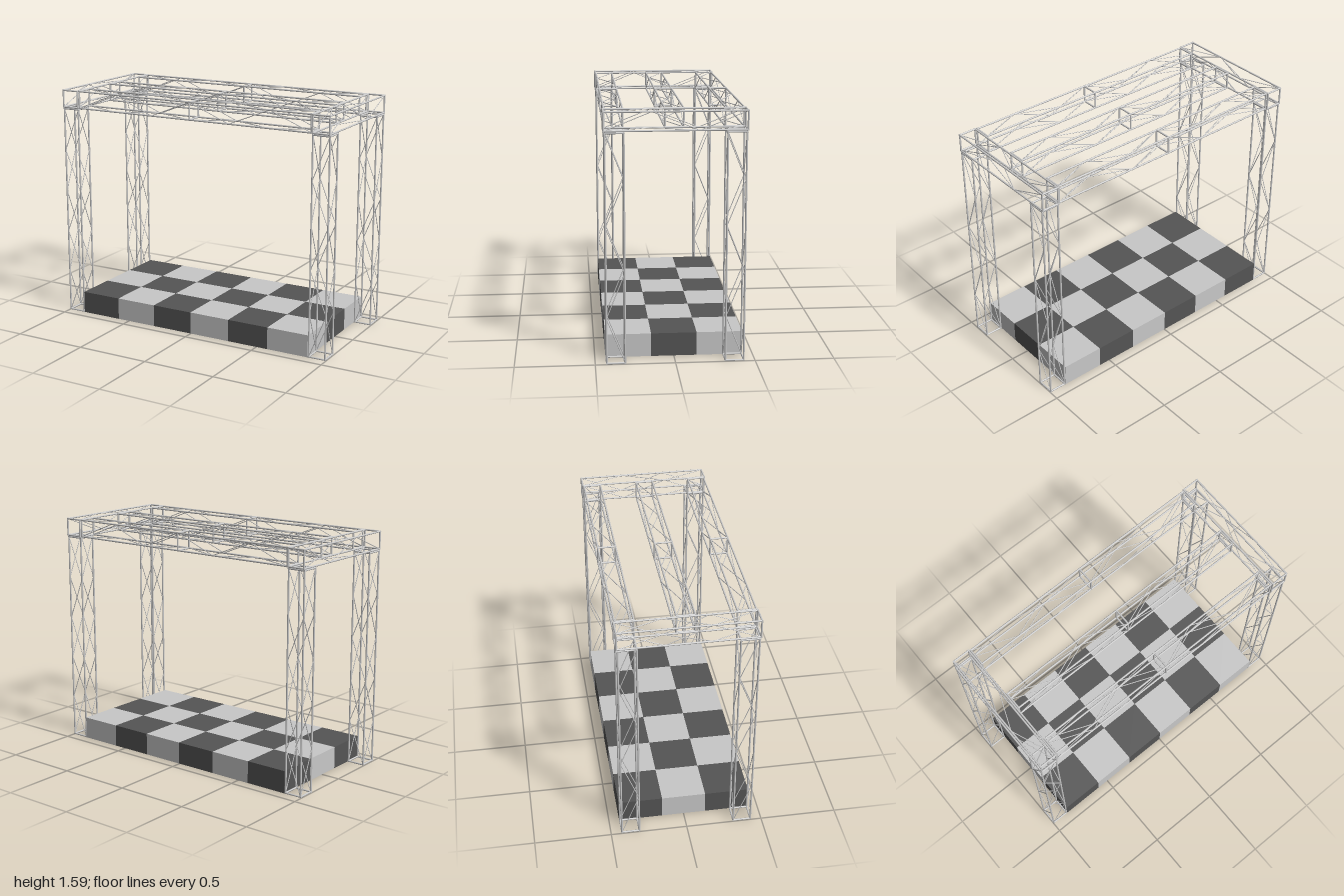
import * as THREE from 'three';
import { mergeGeometries } from 'three/addons/utils/BufferGeometryUtils.js';

const HALF = 0.0575;   // half spacing between chord centre lines
const CHORD = 0.006;   // chord tube radius
const BRACE = 0.0028;  // diagonal rod radius
const UP = new THREE.Vector3(0, 1, 0);

// Round rod between two points
function rod(a, b, radius, extend = 0) {
  const dir = b.clone().sub(a);
  const geo = new THREE.CylinderGeometry(radius, radius, dir.length() + 2 * extend, 8);
  geo.applyQuaternion(new THREE.Quaternion().setFromUnitVectors(UP, dir.clone().normalize()));
  const mid = a.clone().add(b).multiplyScalar(0.5);
  return geo.translate(mid.x, mid.y, mid.z);
}

// Square box truss standing along y, centred on the origin
function createTruss(name, length, bays, frameLevels, material) {
  const corners = [[-1, -1], [1, -1], [1, 1], [-1, 1]];
  const at = (i, y) => new THREE.Vector3(corners[i % 4][0] * HALF, y, corners[i % 4][1] * HALF);
  const chords = [], frames = [], braces = [];
  const step = length / bays;
  for (let i = 0; i < 4; i++) {
    chords.push(rod(at(i, -length / 2), at(i, length / 2), CHORD));
    for (const y of frameLevels) frames.push(rod(at(i, y), at(i + 1, y), CHORD, CHORD * 0.8));
    // Zigzag lacing, mirrored on opposite faces
    for (let k = 0; k < bays; k++) {
      const y0 = -length / 2 + k * step;
      const flip = (k + (i >> 1)) % 2;
      // corner order reverses on opposite faces, so compensate for it
      const swap = i >= 2 ? 1 - flip : flip;
      const mirrored = i >= 2 ? 1 - swap : swap;
      const forward = i >= 2 ? mirrored !== (k + 1) % 2 : mirrored === k % 2;
      const start = (k % 2 === 0) === forward ? i : i + 1;
      const end = start === i ? i + 1 : i;
      braces.push(rod(at(start, y0), at(end, y0 + step), BRACE));
    }
  }
  const group = new THREE.Group();
  group.name = name;
  for (const [part, list] of [['chords', chords], ['frames', frames], ['braces', braces]]) {
    const mesh = new THREE.Mesh(mergeGeometries(list), material);
    mesh.name = part;
    group.add(mesh);
  }
  return group;
}

export function createModel() {
  const metal = new THREE.MeshStandardMaterial({ color: 0xcccccc });
  metal.name = 'truss metal';
  const light = new THREE.MeshStandardMaterial({ color: 0xc8c8c8 });
  light.name = 'light grey';
  const dark = new THREE.MeshStandardMaterial({ color: 0x555555 });
  dark.name = 'dark grey';

  const model = new THREE.Group();
  model.name = 'stage';

  // Chequered platform of 6 x 3 blocks
  const platform = new THREE.Group();
  platform.name = 'platform';
  const w = 0.291, d = 0.2887, h = 0.15;
  const block = new THREE.BoxGeometry(w, h, d);
  for (let row = 0; row < 3; row++) {
    for (let col = 0; col < 6; col++) {
      const mesh = new THREE.Mesh(block, (row + col) % 2 === 0 ? dark : light);
      mesh.name = 'platformBlock';
      mesh.position.set((col - 2.5) * w, h / 2 + 0.002, (row - 1) * d);
      platform.add(mesh);
    }
  }
  model.add(platform);

  const columnX = 0.9365, columnZ = 0.3705, beamY = 1.5225;

  // Four corner columns
  const columnLength = 1.447;
  for (const sx of [-1, 1]) {
    for (const sz of [-1, 1]) {
      const column = createTruss('column', columnLength, 5,
        [-columnLength / 2, columnLength / 2], metal);
      column.position.set(sx * columnX, columnLength / 2 + CHORD, sz * columnZ);
      model.add(column);
    }
  }

  // Side beams running front to back on top of the columns
  for (const sx of [-1, 1]) {
    const beam = createTruss('sideBeam', 0.87, 3, [-0.435, 0.435], metal);
    beam.rotation.x = Math.PI / 2;
    beam.position.set(sx * columnX, beamY, 0);
    model.add(beam);
  }

  // Front, middle and back cross beams, joined at the centre
  for (const z of [-columnZ, 0, columnZ]) {
    const beam = createTruss('crossBeam', 1.738, 6, [-0.867, 0, 0.867], metal);
    beam.rotation.z = Math.PI / 2;
    beam.position.set(0, beamY, z);
    model.add(beam);
  }
  return model;
}
